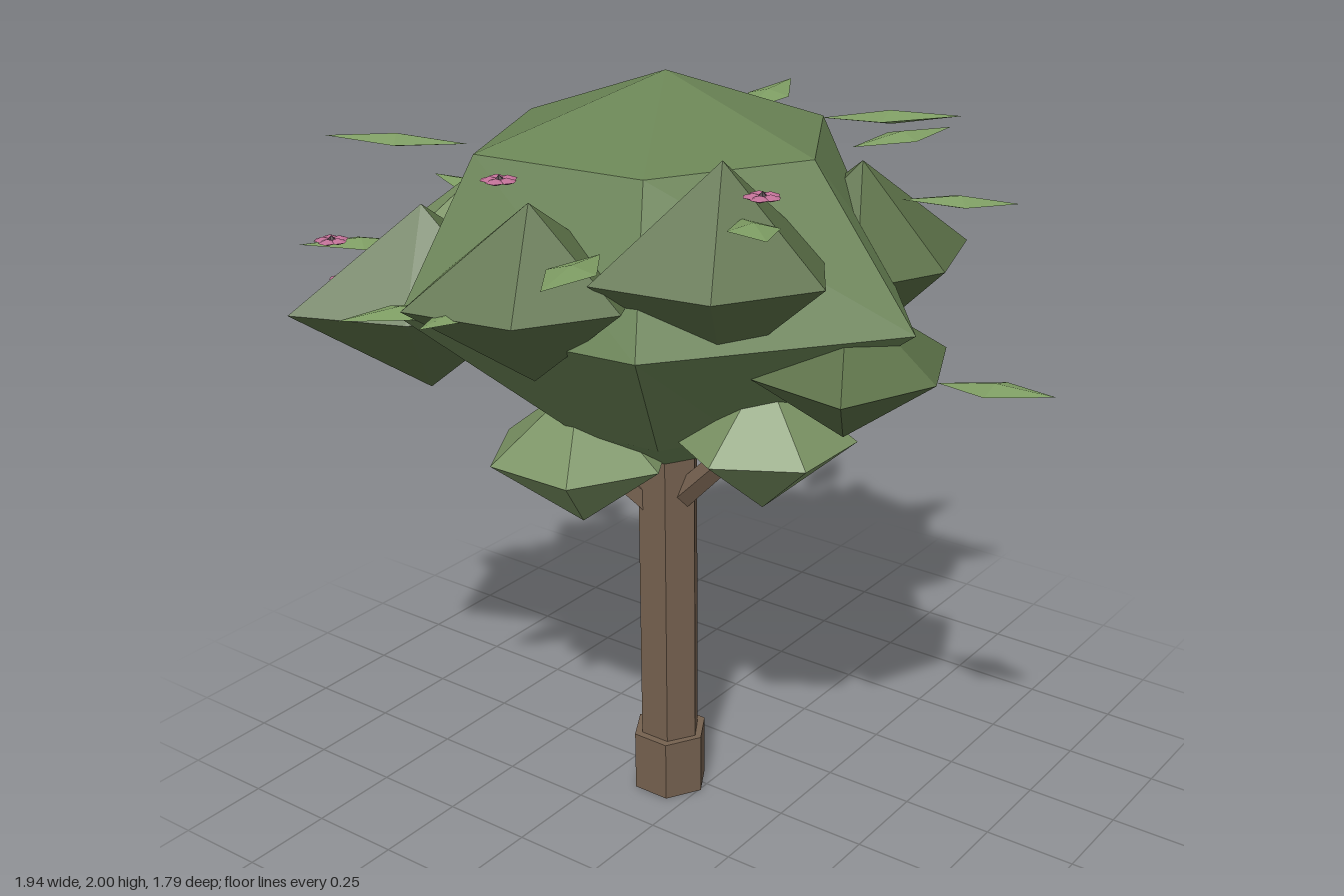
import * as THREE from 'three';

const mat = (color) => new THREE.MeshStandardMaterial({ color, flatShading: true });
const BARK = mat(0x75614f);
const CROWN = mat(0x6a8455);
const DARK = mat(0x5b7047);
const LIGHT = mat(0x7a9263);
const LEAF = mat(0x7f9e64);
const PETAL = mat(0xbf7096);
const HEART = mat(0x4a3a40);

const TRUNK_X = -0.1, TRUNK_Z = 0.035;

// Six-sided double pyramid; corner radii run from -x over +z to +x and back
function clumpGeometry(radii, h, turn) {
  const geo = new THREE.SphereGeometry(1, 6, 2);
  const p = geo.attributes.position;
  for (let i = 0; i < p.count; i++) {
    const corner = Math.round(Math.atan2(p.getZ(i), -p.getX(i)) / (Math.PI / 3));
    const r = radii[(corner + 6) % 6];
    p.setXYZ(i, p.getX(i) * r, p.getY(i) * h, p.getZ(i) * r);
  }
  return geo.rotateY(turn);
}

export function createModel() {
  const tree = new THREE.Group();
  tree.name = 'tree';

  const add = (name, geometry, material, x = 0, y = 0, z = 0, parent = tree) => {
    const mesh = new THREE.Mesh(geometry, material);
    mesh.name = name;
    mesh.position.set(x, y, z);
    parent.add(mesh);
    return mesh;
  };

  // Hexagonal prism with corners on the x axis
  const hexPrism = (r, h) => new THREE.CylinderGeometry(r, r, h, 6).rotateY(Math.PI / 6);
  add('trunkBase', hexPrism(0.105, 0.17), BARK, TRUNK_X, 0.085, TRUNK_Z);
  add('trunk', hexPrism(0.086, 0.95).scale(1, 1, 0.95), BARK, TRUNK_X, 0.57, TRUNK_Z);

  // Short boughs leaning out of the trunk top
  const boughs = [
    [[-0.07, 0.87, 0.04], [0.16, 1.1, 0.05]],
    [[-0.11, 0.85, 0.01], [-0.2, 1.08, -0.22]],
    [[-0.13, 0.86, 0.07], [-0.25, 1.0, 0.16]],
  ];
  for (const [from, to] of boughs) {
    const a = new THREE.Vector3(...from), b = new THREE.Vector3(...to);
    const dir = b.clone().sub(a);
    const geo = new THREE.CylinderGeometry(0.03, 0.036, dir.length(), 5);
    const bough = add('bough', geo, BARK, ...a.add(b).multiplyScalar(0.5).toArray());
    bough.quaternion.setFromUnitVectors(new THREE.Vector3(0, 1, 0), dir.normalize());
  }

  // Main crown: six-sided dome tapering below, swollen at its front right and left corners
  const crown = new THREE.SphereGeometry(1, 6, 4).scale(0.61, 0.53, 0.61);
  const p = crown.attributes.position;
  for (let i = 0; i < p.count; i++) {
    const x = p.getX(i), y = p.getY(i), z = p.getZ(i);
    let k = 1;
    if (x < -0.1 && z > 0.1) k = 1.14;
    if (x > 0.5) k = 1.18;
    if (x < -0.5) k = 0.95;
    if (y < -0.1) k *= 0.52;
    p.setXYZ(i, x * k, y, z * k);
  }
  add('crown', crown, CROWN, TRUNK_X, 1.47, 0.03);

  // Foliage clumps [x, y, z, corner radii, half height, material, turn]
  const even = (r) => Array(6).fill(r);
  const clumps = [
    [-0.09, 1.58, 0.56, [0.27, 0.31, 0.25, 0.26, 0.27, 0.27], 0.215, DARK, 0],
    [-0.56, 1.44, 0.42, [0.31, 0.35, 0.22, 0.3, 0.3, 0.3], 0.24, DARK, 0],
    [-0.58, 1.54, 0.1, [0.28, 0.26, 0.22, 0.27, 0.27, 0.22], 0.2, LIGHT, 0],
    [-0.47, 1.44, -0.37, [0.29, 0.3, 0.3, 0.3, 0.32, 0.33], 0.25, DARK, 0],
    [-0.03, 1.4, -0.58, [0.33, 0.33, 0.33, 0.3, 0.31, 0.37], 0.27, DARK, 0],
    [0.22, 1.49, -0.37, [0.3, 0.3, 0.28, 0.25, 0.32, 0.3], 0.25, DARK, 0],
    [-0.22, 1.58, -0.4, even(0.24), 0.23, LIGHT, 0],
    [0.26, 1.64, 0.3, [0.22, 0.33, 0.27, 0.28, 0.26, 0.26], 0.25, DARK, 0],
    [0.43, 1.36, 0.03, [0.2, 0.25, 0.29, 0.25, 0.28, 0.25], 0.19, DARK, 0],
    [0.21, 1.12, 0.05, even(0.235), 0.19, LIGHT, Math.PI / 6],
    [-0.27, 1.01, 0.18, even(0.25), 0.2, LIGHT, 0],
    [-0.24, 1.11, -0.26, even(0.27), 0.24, LIGHT, 0],
  ];
  for (const [x, y, z, radii, h, material, turn] of clumps) {
    add('foliageClump', clumpGeometry(radii, h, turn), material, x, y, z);
  }

  // Pointed leaves: thin lozenges given by stem end and tip
  const leaves = [
    [[0.67, 1.36, 0.01], [0.97, 1.39, 0]],
    [[0.29, 1.92, -0.06], [0.63, 1.96, -0.12]],
    [[0.34, 1.66, -0.36], [0.57, 1.64, -0.56]],
    [[0.15, 1.75, -0.43], [0.27, 1.76, -0.73]],
    [[-0.2, 1.79, -0.45], [-0.27, 1.81, -0.78]],
    [[-0.12, 1.67, -0.45], [-0.19, 1.69, -0.66]],
    [[-0.69, 1.61, -0.36], [-0.97, 1.63, -0.48]],
    [[-0.65, 1.57, -0.04], [-0.97, 1.585, -0.06]],
    [[-0.73, 1.51, 0.25], [-0.92, 1.53, 0.5]],
    [[-0.46, 1.83, 0.35], [-0.73, 1.855, 0.56]],
    [[-0.29, 1.52, 0.58], [-0.42, 1.53, 0.86]],
    [[-0.14, 1.57, 0.6], [-0.13, 1.58, 0.89]],
    [[0.09, 1.7, 0.53], [0.17, 1.71, 0.83]],
    [[0.34, 1.78, 0.34], [0.53, 1.805, 0.52]],
  ];
  for (const [from, to] of leaves) {
    const a = new THREE.Vector3(...from), b = new THREE.Vector3(...to);
    const geo = new THREE.OctahedronGeometry(1).scale(0.06, 0.016, a.distanceTo(b) / 2);
    const leaf = add('leaf', geo, LEAF, ...a.add(b).multiplyScalar(0.5).toArray());
    leaf.lookAt(b.set(...to));
  }

  // Small drifting blossoms with five petals
  const blossoms = [
    [-0.15, 1.545, -0.78], [-0.87, 1.33, -0.3], [-0.9, 1.41, 0.37],
    [-0.52, 1.68, 0.76], [0.06, 1.93, 0.82], [0.585, 1.935, 0.62],
  ];
  for (const pos of blossoms) {
    const blossom = new THREE.Group();
    blossom.name = 'blossom';
    blossom.position.set(...pos);
    for (let i = 0; i < 5; i++) {
      const a = (i / 5) * Math.PI * 2;
      const geo = new THREE.SphereGeometry(1, 6, 2).scale(0.022, 0.008, 0.022);
      add('petal', geo, PETAL, Math.cos(a) * 0.02, 0, Math.sin(a) * 0.02, blossom);
    }
    add('blossomHeart', new THREE.SphereGeometry(1, 6, 2).scale(0.012, 0.012, 0.012), HEART, 0, 0, 0, blossom);
    tree.add(blossom);
  }

  return tree;
}
